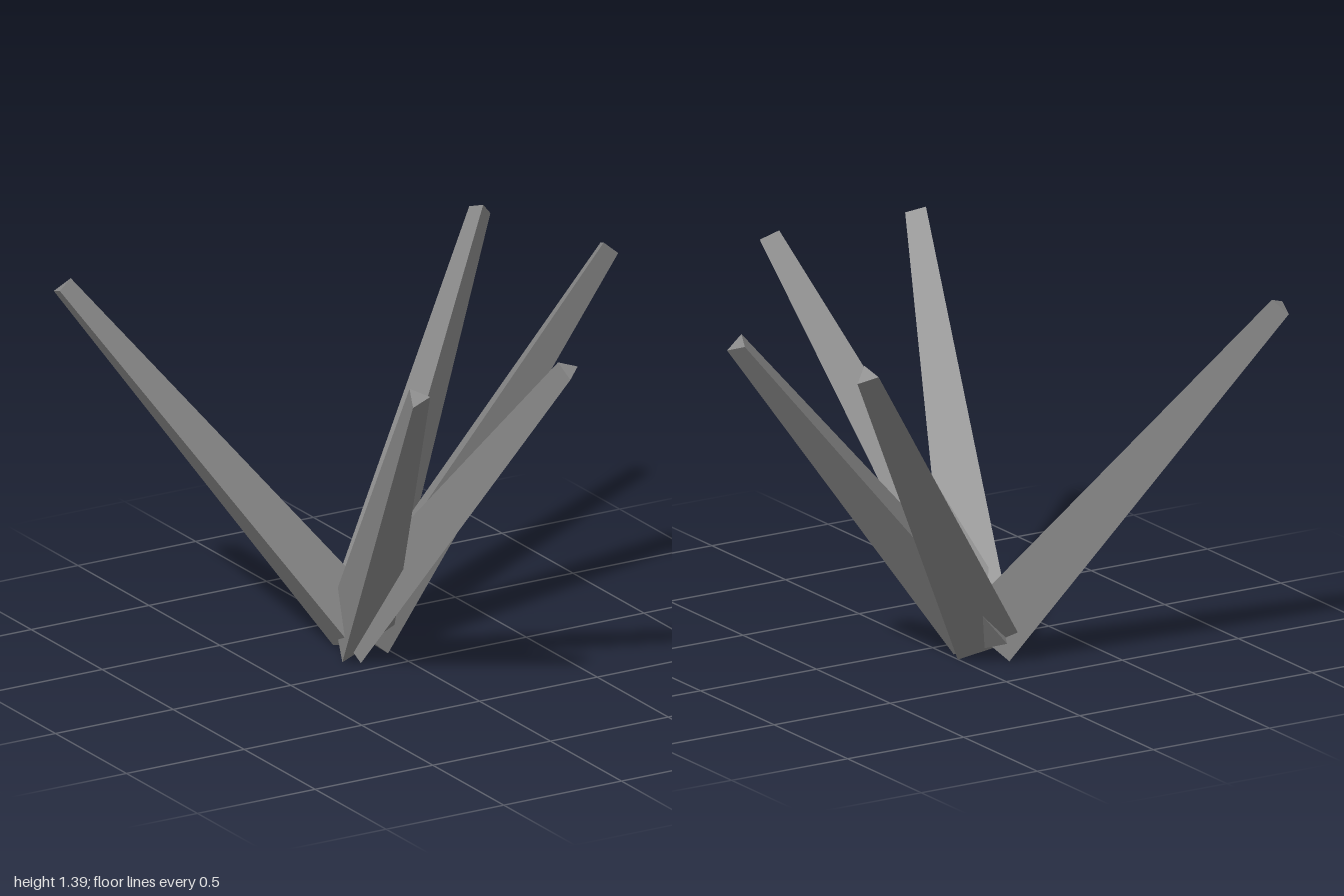
import * as THREE from 'three';

// Five identical three-sided tapered spikes fanning out from one shared root.
export function createModel() {
  const model = new THREE.Group();
  model.name = 'spikeCluster';

  const grey = new THREE.MeshStandardMaterial({ color: 0x888888, flatShading: true });
  grey.name = 'grey';

  // One spike: base at the origin, leaning 40 degrees towards +x
  const length = 1.68;
  const spike = new THREE.CylinderGeometry(0.047, 0.141, length, 3, 1, false, Math.PI);
  spike.translate(0, length / 2, 0);
  spike.rotateZ(-THREE.MathUtils.degToRad(40));

  // Headings in degrees, turning from +x towards +z
  const headings = [-0.95, -34, 218.3, 109.1, 75.3];
  headings.forEach((heading, i) => {
    const mesh = new THREE.Mesh(spike, grey);
    mesh.name = `spike${i + 1}`;
    mesh.position.set(-0.115, 0.0785, -0.18);
    mesh.rotation.y = -THREE.MathUtils.degToRad(heading);
    model.add(mesh);
  });

  return model;
}
